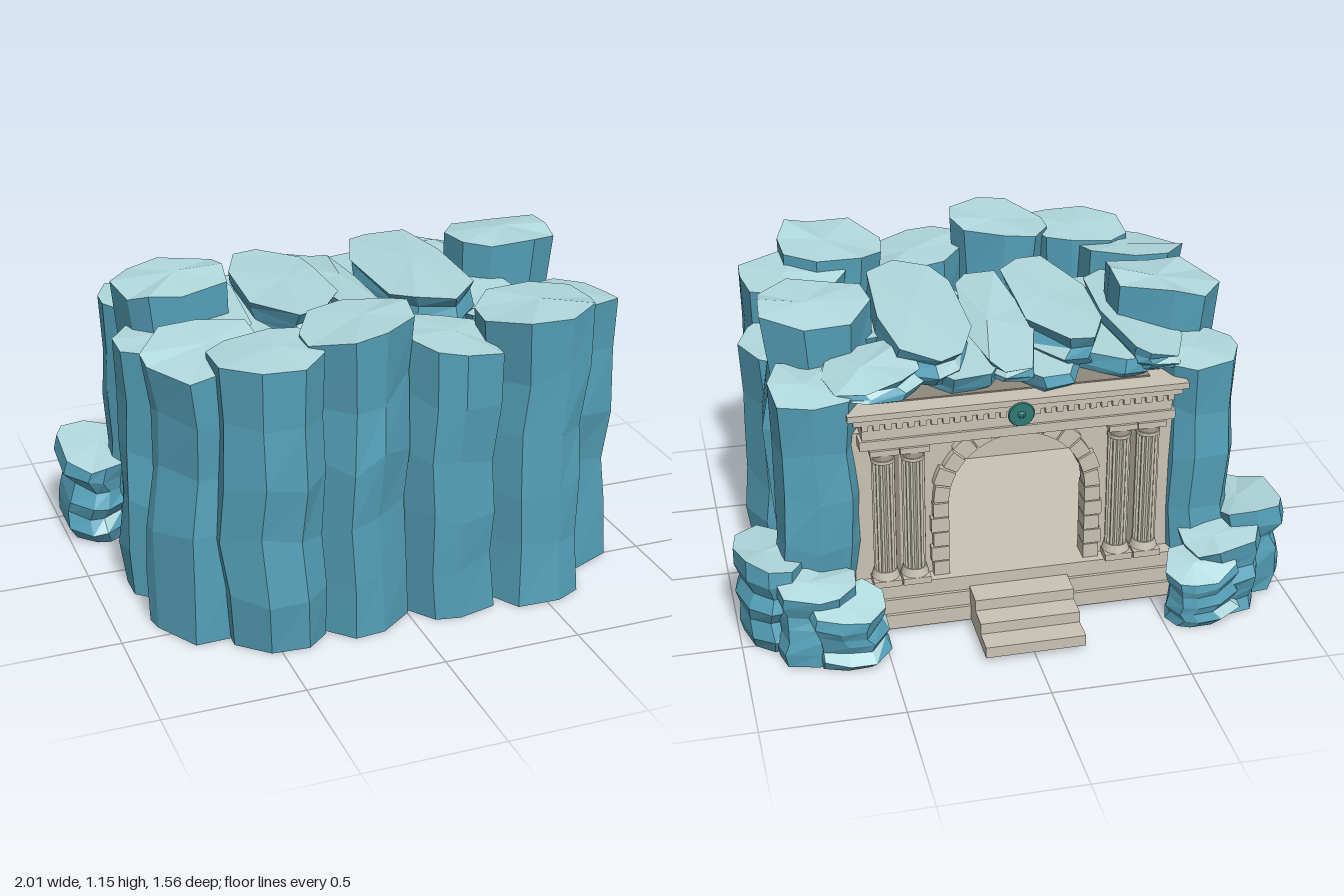
import * as THREE from 'three';

const mat = (color) => new THREE.MeshStandardMaterial({ color, flatShading: true });
const ROCK = mat(0x55a0b8);
const ROCK_TOP = mat(0xb0d8dd);
const STONE = mat(0xc9c3b4);
const DARK = mat(0x8f897d);
const BRONZE = mat(0x2f7a72);

// Small seeded random generator
function seeded(seed) {
  let s = seed * 7919 + 13;
  return () => {
    s = (s * 16807 + 11) % 2147483647;
    return (s % 10000) / 10000;
  };
}

// Faceted boulder: stacked irregular rings, tilted top, flat base.
// Returns two geometries: the steep sides and the pale faces that look up.
function rockGeometries({ x, z, rx, rz, h, y0 = 0, tx = 0, tz = 0, levels = 5, sides = 9, layered = 0, seed }) {
  const rnd = seeded(seed);
  for (let i = 0; i < 5; i++) rnd();
  const outline = [];
  for (let i = 0; i < sides; i++) {
    const a = ((i + (rnd() - 0.5) * 0.6) / sides) * Math.PI * 2;
    const c = Math.cos(a), s = Math.sin(a);
    const r = (0.94 + rnd() * 0.12) / Math.cbrt(Math.abs(c) ** 3 + Math.abs(s) ** 3);
    outline.push([c * r, s * r]);
  }
  const rings = [];
  for (let k = 0; k <= levels; k++) {
    const t = k / levels, top = k === levels;
    const scale = top ? 1 : layered ? (k % 2 ? 1 : 1 - layered) : 0.9 + rnd() * 0.09;
    const ox = top ? 0 : (rnd() - 0.5) * 0.035, oz = top ? 0 : (rnd() - 0.5) * 0.025;
    rings.push(outline.map(([px, pz]) => {
      const j = top ? 1 : scale + (rnd() - 0.5) * 0.07;
      const rough = top ? 0.03 : k ? 0.3 * (h - y0) / levels : 0;
      const lift = (tx * px + tz * pz) * t + (rnd() - 0.5) * rough;
      return new THREE.Vector3(x + px * rx * j + ox, y0 + (h - y0) * t + lift, z + pz * rz * j + oz);
    }));
  }
  const bottom = new THREE.Vector3(x, y0, z), peak = new THREE.Vector3(x + 0.03, h + 0.01, z - 0.02);
  const steep = [], up = [], tri = new THREE.Triangle(), n = new THREE.Vector3();
  const face = (a, b, c) => {
    tri.set(a, b, c).getNormal(n);
    (n.y > 0.6 ? up : steep).push(a, b, c);
  };
  for (let i = 0; i < sides; i++) {
    const j = (i + 1) % sides;
    for (let k = 0; k < levels; k++) {
      const lo = rings[k], hi = rings[k + 1];
      face(lo[i], hi[i], lo[j]);
      face(lo[j], hi[i], hi[j]);
    }
    face(bottom, rings[0][i], rings[0][j]);
    face(peak, rings[levels][j], rings[levels][i]);
  }
  return [steep, up].map((points) => {
    const g = new THREE.BufferGeometry().setFromPoints(points);
    g.computeVertexNormals();
    return g;
  });
}

export function createModel() {
  const model = new THREE.Group();
  const add = (parent, name, geo, material, x = 0, y = 0, z = 0) => {
    const m = new THREE.Mesh(geo, material);
    m.name = name;
    m.position.set(x, y, z);
    parent.add(m);
  };
  const group = (name) => {
    const g = new THREE.Group();
    g.name = name;
    model.add(g);
    return g;
  };
  // Box given by its min and max corners
  const box = (parent, name, x0, x1, y0, y1, z0, z1, m = STONE) =>
    add(parent, name, new THREE.BoxGeometry(x1 - x0, y1 - y0, z1 - z0), m, (x0 + x1) / 2, (y0 + y1) / 2, (z0 + z1) / 2);
  // Rows of rocks: x, z, rx, rz, height, tilt x, tilt z
  const rocks = (groupName, name, seed, options, rows) => {
    const g = group(groupName);
    rows.forEach(([x, z, rx, rz, h, tx, tz], i) => {
      const [steep, up] = rockGeometries({ x, z, rx, rz, h, tx, tz, seed: seed + i, ...options });
      add(g, name + 'Side', steep, ROCK);
      add(g, name + 'Top', up, ROCK_TOP);
    });
  };

  // Tall cliff columns around the chamber
  rocks('cliff', 'cliffColumn', 3, {}, [
    [-0.48, 0.59, 0.185, 0.18, 1.05, 0.01, 0],
    [-0.17, 0.57, 0.19, 0.195, 1.11, 0.03, 0],
    [0.16, 0.57, 0.18, 0.195, 1.01, -0.03, 0],
    [0.49, 0.57, 0.2, 0.2, 1.08, 0.02, 0.01],
    [-0.66, 0.42, 0.205, 0.19, 1.02, 0.01, -0.02],
    [0.66, 0.41, 0.19, 0.19, 1.03, -0.01, 0.02],
    [-0.63, -0.08, 0.2, 0.18, 1.1, 0.025, 0],
    [0.65, -0.08, 0.195, 0.18, 1.12, 0, 0.01],
    [-0.69, 0.13, 0.2, 0.17, 0.95, -0.01, 0],
    [0.69, 0.15, 0.205, 0.17, 0.88, -0.01, 0.02],
    [-0.68, -0.36, 0.15, 0.165, 0.94, 0, 0.01],
    [0.69, -0.36, 0.165, 0.165, 0.94, 0.01, 0.01],
  ]);

  // Layered roof slabs over the chamber, on a lower bed of slabs
  rocks('roofBed', 'bedSlab', 61, { y0: 0.87, levels: 2, layered: 0.08 }, [
    [-0.4, -0.08, 0.16, 0.39, 0.95, 0, 0],
    [-0.1, -0.1, 0.17, 0.38, 0.95, 0, 0.01],
    [0.17, -0.09, 0.16, 0.39, 0.95, 0, 0],
    [0.44, -0.04, 0.14, 0.39, 0.95, 0, 0],
  ]);
  rocks('roofSlabs', 'roofSlab', 31, { y0: 0.92, levels: 3, layered: 0.07 }, [
    [-0.52, -0.1, 0.13, 0.4, 0.98, 0.02, 0],
    [-0.225, -0.05, 0.15, 0.37, 1.04, 0.02, 0.01],
    [0.0, -0.1, 0.11, 0.39, 1.0, -0.02, 0.02],
    [0.26, -0.04, 0.165, 0.4, 1.05, 0.02, 0.015],
    [0.49, -0.36, 0.16, 0.16, 0.99, -0.03, 0.02],
    [0.49, 0.1, 0.12, 0.26, 0.98, 0, 0],
  ]);

  // Low layered boulders flanking the entrance
  for (const s of [-1, 1]) rocks('lowBoulders', 'lowBoulder', 51 + s * 7, { levels: 6, layered: 0.1 }, [
    [s * 0.87, -0.4, 0.125, 0.185, 0.33, s * 0.015, -0.02],
    [s * 0.735, -0.56, 0.145, 0.12, 0.28, s * 0.015, 0.01],
    [s * 0.635, -0.64, 0.13, 0.1, 0.22, s * 0.01, 0.03],
  ]);

  // Chamber behind the doorway
  const room = group('chamber');
  box(room, 'floor', -0.5, 0.5, 0.02, 0.19, -0.42, 0.37);
  box(room, 'backWall', -0.48, 0.48, 0.19, 0.88, 0.34, 0.37);
  for (const s of [-1, 1]) box(room, 'sideWall', s * 0.43 - 0.015, s * 0.43 + 0.015, 0.19, 0.88, -0.45, 0.34, DARK);
  box(room, 'ceiling', -0.48, 0.48, 0.86, 0.89, -0.45, 0.37, DARK);

  // Stepped platform and entry stairs
  const base = group('platform');
  for (let i = 0; i < 3; i++) box(base, 'plinthCourse', -0.6, 0.6, 0.02 + i * 0.057, 0.077 + i * 0.057, -0.53 + i * 0.012, -0.4);
  for (let i = 0; i < 3; i++) box(base, 'step', -0.18, 0.18, 0.02 + i * 0.042, 0.062 + i * 0.042, -0.78 + i * 0.087, -0.5);

  // Wall with arched doorway
  const portal = group('portal');
  const R = 0.25, SPRING = 0.485, FRONT = -0.45;
  const wall = new THREE.Shape();
  wall.moveTo(-0.58, 0.19).lineTo(-R, 0.19).lineTo(-R, SPRING);
  wall.absarc(0, SPRING, R, Math.PI, 0, true);
  wall.lineTo(R, 0.19).lineTo(0.58, 0.19).lineTo(0.58, 0.78).lineTo(-0.58, 0.78);
  add(portal, 'archWall', new THREE.ExtrudeGeometry(wall, { depth: 0.05, bevelEnabled: false, curveSegments: 14 }), STONE, 0, 0, FRONT);

  // Arch blocks and jamb blocks, alternating in size
  const N = 13;
  for (let i = 0; i < N; i++) {
    const a0 = (i / N) * Math.PI + 0.012, a1 = ((i + 1) / N) * Math.PI - 0.012;
    const s = new THREE.Shape();
    s.absarc(0, 0, R + 0.05 + (i % 2) * 0.01, a0, a1, false);
    s.absarc(0, 0, R - 0.004, a1, a0, true);
    add(portal, 'archBlock', new THREE.ExtrudeGeometry(s, { depth: 0.06, bevelEnabled: false, curveSegments: 3 }), STONE, 0, SPRING, FRONT - 0.03);
  }
  for (const s of [-1, 1]) for (let i = 0; i < 5; i++) {
    const w = 0.056 + (i % 2) * 0.008;
    add(portal, 'jambBlock', new THREE.BoxGeometry(w, 0.055, 0.08), STONE, s * (R - 0.004 + w / 2), 0.2195 + i * 0.059, FRONT + 0.01);
  }

  // Fluted columns in pairs
  const flute = new THREE.Shape();
  for (let i = 0; i < 32; i++) {
    const a = (i / 32) * Math.PI * 2, r = i % 2 ? 0.035 : 0.041;
    flute[i ? 'lineTo' : 'moveTo'](Math.cos(a) * r, Math.sin(a) * r);
  }
  const shaft = new THREE.ExtrudeGeometry(flute, { depth: 0.45, bevelEnabled: false }).rotateX(-Math.PI / 2);
  const disc = (rt, rb, h) => new THREE.CylinderGeometry(rt, rb, h, 20);
  for (const x of [-0.475, -0.37, 0.37, 0.475]) {
    const c = group('column');
    c.position.set(x, 0.19, -0.47);
    box(c, 'columnPlinth', -0.05, 0.05, 0, 0.025, -0.05, 0.05);
    add(c, 'columnBase', disc(0.042, 0.05, 0.03), STONE, 0, 0.04);
    add(c, 'columnShaft', shaft, STONE, 0, 0.05);
    add(c, 'columnCollar', disc(0.043, 0.043, 0.012), STONE, 0, 0.495);
    add(c, 'columnCapital', disc(0.05, 0.038, 0.03), STONE, 0, 0.515);
    box(c, 'columnAbacus', -0.051, 0.051, 0.528, 0.55, -0.05, 0.05);
  }

  // Entablature: beams, dentils and cornice
  const top = group('entablature');
  box(top, 'architrave', -0.56, 0.56, 0.74, 0.775, -0.51, -0.4);
  box(top, 'frieze', -0.55, 0.55, 0.775, 0.83, -0.5, -0.4);
  for (let i = 0; i < 28; i++) {
    const x = -0.54 + i * 0.04;
    box(top, 'dentil', x - 0.011, x + 0.011, 0.818, 0.84, -0.517, -0.495);
  }
  box(top, 'cornice', -0.58, 0.58, 0.84, 0.862, -0.52, -0.4);
  box(top, 'corniceCap', -0.6, 0.6, 0.862, 0.885, -0.528, -0.4);

  // Round medallion over the doorway
  const medal = group('medallion');
  medal.position.set(0, 0.83, -0.518);
  add(medal, 'medallionDisc', disc(0.04, 0.04, 0.03).rotateX(Math.PI / 2), BRONZE);
  add(medal, 'medallionRim', new THREE.TorusGeometry(0.04, 0.007, 6, 24), BRONZE, 0, 0, -0.009);
  add(medal, 'medallionBoss', new THREE.SphereGeometry(0.016, 10, 8), BRONZE, 0, 0, -0.008);
  return model;
}
